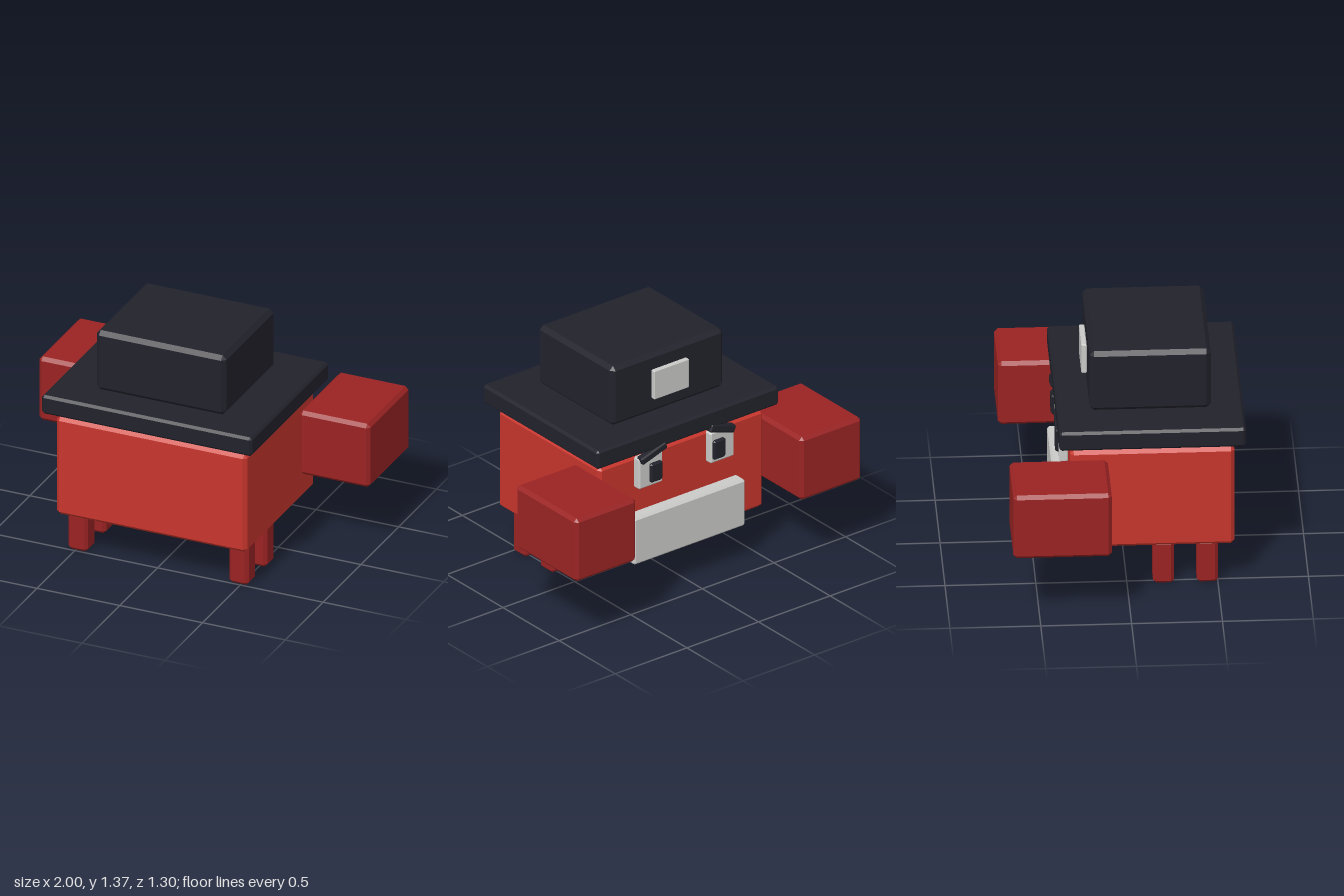
import * as THREE from 'three';
import { ConvexGeometry } from 'three/addons/geometries/ConvexGeometry.js';

function material(name, color) {
  const m = new THREE.MeshStandardMaterial({ color });
  m.name = name;
  return m;
}

// Box with flat chamfered edges: the hull of its three inset face pairs
function chamferBox(w, h, d, c) {
  const points = [];
  for (const x of [-1, 1]) for (const y of [-1, 1]) for (const z of [-1, 1]) {
    for (const [a, b, e] of [[0, c, c], [c, 0, c], [c, c, 0]]) {
      points.push(new THREE.Vector3(x * (w / 2 - a), y * (h / 2 - b), z * (d / 2 - e)));
    }
  }
  return new ConvexGeometry(points);
}

export function createModel() {
  const group = new THREE.Group();
  const shellRed = material('shell red', 0xc8362d);
  const darkRed = material('dark red', 0x9b2323);
  const hatBlack = material('hat black', 0x22222c);
  const paleGrey = material('pale grey', 0xcbcbc9);

  // Adds a chamfered block spanning the given ranges on x, y and z
  function block(name, mat, [x0, x1], [y0, y1], [z0, z1], c = 0.02) {
    const mesh = new THREE.Mesh(chamferBox(x1 - x0, y1 - y0, z1 - z0, c), mat);
    mesh.position.set((x0 + x1) / 2, (y0 + y1) / 2, (z0 + z1) / 2);
    mesh.name = name;
    group.add(mesh);
    return mesh;
  }

  // Body and mouth plate; the face looks towards -z
  block('body', shellRed, [-0.575, 0.575], [0.25, 0.85], [-0.315, 0.59]);
  block('mouthPlate', paleGrey, [-0.39, 0.39], [0.22, 0.51], [-0.39, -0.305], 0.013);

  // Hat
  block('hatBrim', hatBlack, [-0.635, 0.635], [0.885, 1.0], [-0.377, 0.65], 0.014);
  block('hatCrown', hatBlack, [-0.392, 0.392], [1.0, 1.365], [-0.197, 0.47], 0.024);
  block('hatBuckle', paleGrey, [-0.122, 0.122], [1.097, 1.275], [-0.229, -0.199], 0.005);

  // Mirrored parts
  for (const s of [1, -1]) {
    const side = s > 0 ? 'left' : 'right';
    const span = (a, b) => (s > 0 ? [a, b] : [-b, -a]);

    block(side + 'Claw', darkRed, span(0.573, 1.0), [0.415, 0.805], [-0.65, -0.108]);
    block(side + 'FrontLeg', darkRed, span(0.427, 0.545), [0, 0.26], [0.143, 0.26], 0.018);
    block(side + 'BackLeg', darkRed, span(0.427, 0.545), [0, 0.26], [0.384, 0.502], 0.018);

    block(side + 'Eye', paleGrey, span(0.165, 0.335), [0.66, 0.853], [-0.362, -0.31], 0.01);
    block(side + 'Pupil', hatBlack, span(0.178, 0.262), [0.685, 0.803], [-0.38, -0.345], 0.01);

    // Brow slopes down towards the outside
    const brow = block(side + 'Brow', hatBlack, span(0.149, 0.331), [0.842, 0.888], [-0.384, -0.336], 0.008);
    brow.rotation.z = -s * 0.31;
  }
  return group;
}
